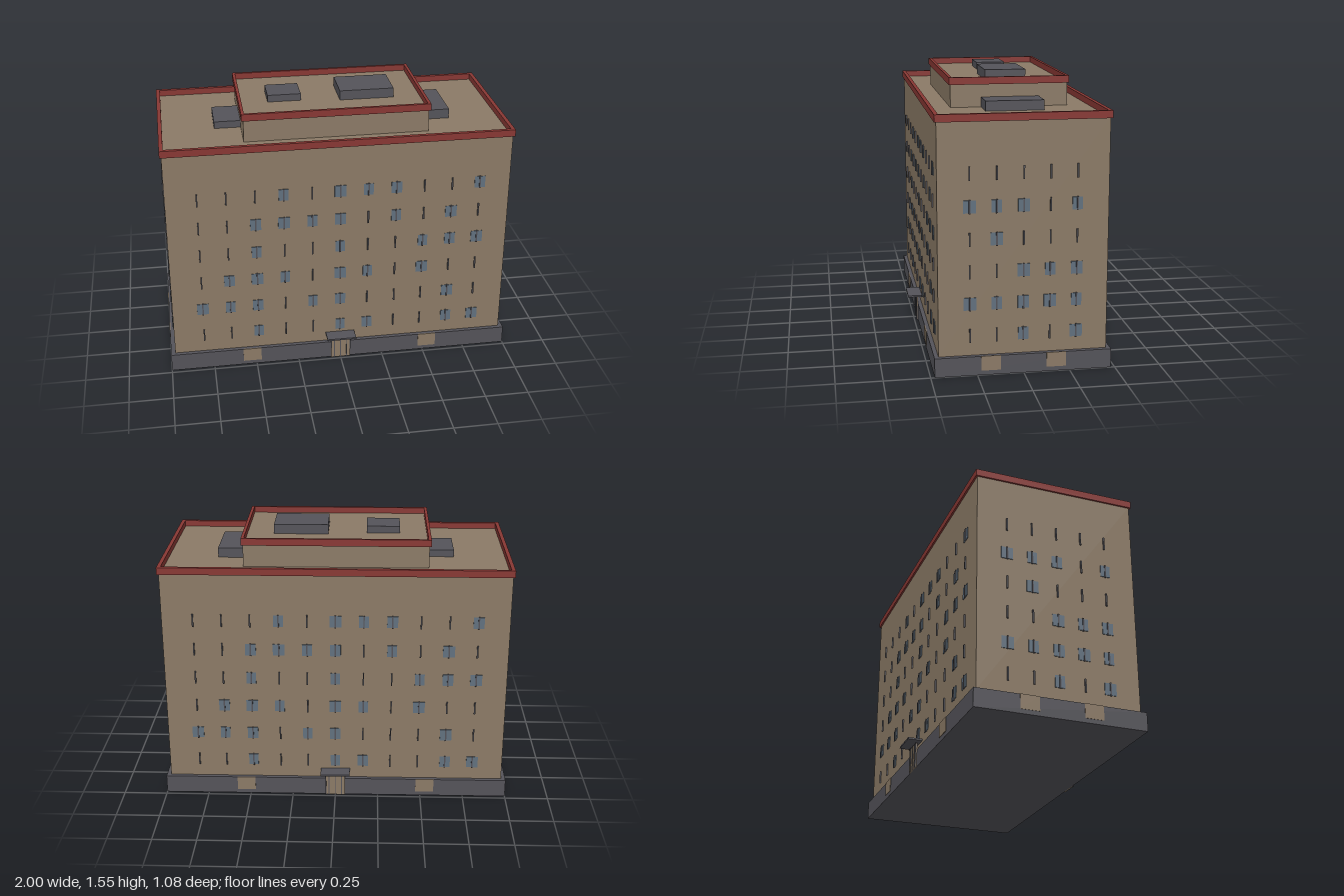
import * as THREE from 'three';

const material = (name, color, extra = {}) => {
  const m = new THREE.MeshStandardMaterial({ color, ...extra });
  m.name = name;
  return m;
};

export function createModel() {
  const tan = material('tan wall', 0x8b7a66);
  const grey = material('dark grey', 0x545359);
  const red = material('red trim', 0x883733);
  const blue = material('blue glass', 0x61707e);

  const model = new THREE.Group();
  model.name = 'apartmentBlock';

  // Box given by its minimum and maximum corners
  function box(parent, name, mat, [x0, y0, z0], [x1, y1, z1]) {
    const mesh = new THREE.Mesh(new THREE.BoxGeometry(x1 - x0, y1 - y0, z1 - z0), mat);
    mesh.position.set((x0 + x1) / 2, (y0 + y1) / 2, (z0 + z1) / 2);
    mesh.name = name;
    parent.add(mesh);
    return mesh;
  }

  // Hollow rectangular parapet running round a roof edge
  function parapet(name, hx, hz, y, height, width) {
    const rect = (path, a, b) => path.moveTo(-a, -b).lineTo(a, -b).lineTo(a, b).lineTo(-a, b).closePath();
    const shape = rect(new THREE.Shape(), hx, hz);
    shape.holes.push(rect(new THREE.Path(), hx - width, hz - width));
    const geo = new THREE.ExtrudeGeometry(shape, { depth: height, bevelEnabled: false });
    geo.rotateX(-Math.PI / 2);
    const mesh = new THREE.Mesh(geo, red);
    mesh.position.y = y;
    mesh.name = name;
    model.add(mesh);
  }

  // Main masses
  box(model, 'plinth', grey, [-1, 0, -0.478], [1, 0.105, 0.478]);
  box(model, 'mainBlock', tan, [-0.975, 0.105, -0.455], [0.975, 1.365, 0.455]);
  parapet('mainParapet', 0.985, 0.465, 1.36, 0.04, 0.022);
  box(model, 'penthouse', tan, [-0.52, 1.365, -0.325], [0.52, 1.495, 0.325]);
  parapet('penthouseParapet', 0.53, 0.333, 1.49, 0.04, 0.017);

  // Roof units
  box(model, 'largeRoofUnit', grey, [0.05, 1.495, -0.12], [0.36, 1.55, 0.11]);
  box(model, 'smallRoofUnit', grey, [-0.36, 1.495, -0.09], [-0.17, 1.535, 0.08]);
  box(model, 'rightRoofUnit', grey, [0.52, 1.365, -0.165], [0.68, 1.42, 0.155]);
  box(model, 'leftRoofUnit', grey, [-0.67, 1.365, -0.12], [-0.52, 1.405, 0.11]);

  // One face of windows: every bay has a mullion, only the listed bays have glass.
  // The face is built looking along +z, with the wall at distance d.
  function windows(parent, d, half, pitch, glazed) {
    glazed.forEach((bays, row) => {
      const y = 0.215 + row * 0.175;
      for (let i = -half; i <= half; i++) {
        const x = i * pitch;
        box(parent, 'mullion', grey, [x - 0.004, y - 0.037, d], [x + 0.004, y + 0.037, d + 0.008]);
        if (!bays.includes(i)) continue;
        const w = 0.029 + 0.003 * ((i + row + 12) % 3 - 0.5);
        box(parent, 'windowPane', blue, [x - w, y - 0.034, d], [x + w, y + 0.034, d + 0.004]);
      }
    });
  }

  // Bays with glass, bottom row first
  const longGlass = [
    [-3, 0, 1, 4, 5], [-5, -4, -3, -1, 0, 4], [-4, -3, -2, 0, 1, 3],
    [-3, 0, 3, 4, 5], [-3, -2, -1, 0, 2, 4], [-2, 0, 1, 2, 5],
  ];
  const shortGlass = [[0, 2], [-2, -1, 0, 1, 2], [0, 1, 2], [-1], [-2, -1, 0, 2], []];

  // Opposite faces are the same face turned half round
  for (const turn of [0, Math.PI]) {
    const longSide = new THREE.Group();
    longSide.name = turn ? 'backFace' : 'frontFace';
    longSide.rotation.y = turn;
    model.add(longSide);
    windows(longSide, 0.455, 5, 0.16, longGlass);
    for (const x of [-0.525, 0.525])
      box(longSide, 'plinthPanel', tan, [x - 0.053, 0.025, 0.475], [x + 0.053, 0.106, 0.481]);

    // Entrance: door slab with uprights under a flat canopy
    box(longSide, 'door', tan, [-0.058, 0, 0.476], [0.058, 0.143, 0.484]);
    for (const x of [-0.056, -0.037, 0, 0.037, 0.056])
      box(longSide, 'doorUpright', grey, [x - 0.0025, 0, 0.482], [x + 0.0025, 0.143, 0.487]);
    box(longSide, 'canopy', grey, [-0.085, 0.151, 0.455], [0.085, 0.161, 0.538]);

    const shortSide = new THREE.Group();
    shortSide.name = turn ? 'leftFace' : 'rightFace';
    shortSide.rotation.y = turn + Math.PI / 2;
    model.add(shortSide);
    windows(shortSide, 0.975, 2, 0.143, shortGlass);
    for (const x of [-0.177, 0.177])
      box(shortSide, 'plinthPanel', tan, [x - 0.053, 0.025, 0.997], [x + 0.053, 0.106, 1.002]);
  }
  return model;
}
